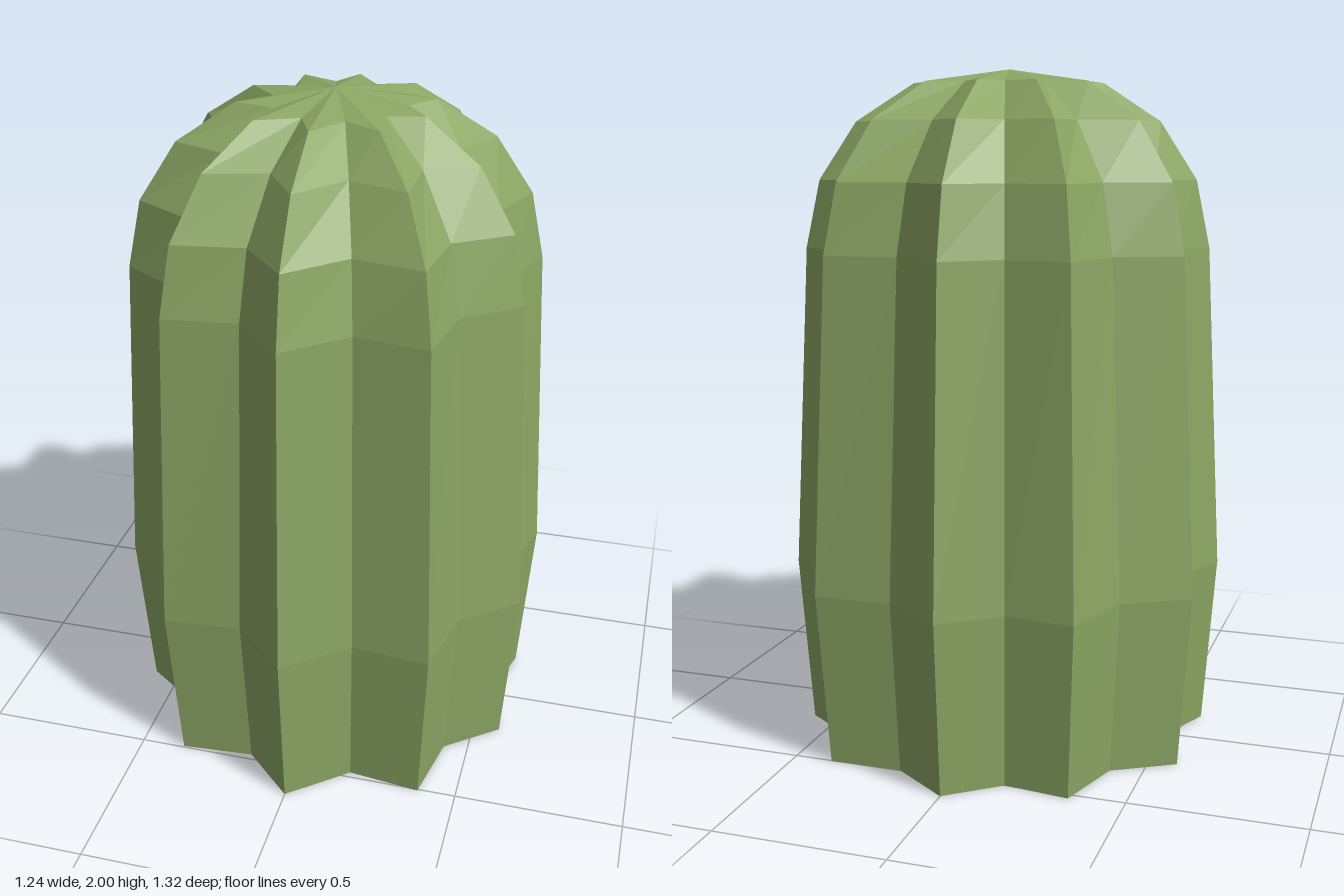
import * as THREE from 'three';

// Slightly uneven rib tips [x, z] at the widest height, starting at the back
const TIPS = [
  [0, -0.66], [0.41, -0.535], [0.62, -0.217], [0.62, 0.18], [0.41, 0.537],
  [0, 0.66], [-0.39, 0.527], [-0.62, 0.18], [-0.62, -0.222], [-0.363, -0.557],
];
// Each level: height, scale of the rib tips, radius of the valleys
const LEVELS = [
  [0, 0.94, 0.515], [0.51, 1, 0.55], [1.48, 0.925, 0.5],
  [1.68, 0.86, 0.455], [1.85, 0.69, 0.34], [1.96, 0.43, 0.192],
];

// Star-shaped cross-section: tips and valleys alternate
function starRing([y, scale, valley]) {
  return TIPS.flatMap(([x, z], i) => {
    const a = (i + 0.5) * Math.PI / 5;
    return [
      [x * scale, y, z * scale],
      [0.01 + valley * Math.sin(a), y, -0.01 - valley * Math.cos(a)],
    ];
  });
}

function ribbedBodyGeometry() {
  const rings = LEVELS.map(starRing);
  const n = TIPS.length * 2;
  const last = rings.length - 1;
  const pos = [];
  const tri = (...corners) => corners.forEach((p) => pos.push(...p));
  for (let i = 0; i < n; i++) {
    const j = (i + 1) % n;
    // ribbed wall
    for (let k = 0; k < last; k++) {
      const lo = rings[k], hi = rings[k + 1];
      tri(lo[j], lo[i], hi[i]);
      tri(lo[j], hi[i], hi[j]);
    }
    // shallow crown and flat base
    tri(rings[last][j], rings[last][i], [0, 2, 0]);
    tri(rings[0][i], rings[0][j], [0, 0, 0]);
  }
  const geometry = new THREE.BufferGeometry();
  geometry.setAttribute('position', new THREE.Float32BufferAttribute(pos, 3));
  geometry.computeVertexNormals();
  return geometry;
}

export function createModel() {
  const group = new THREE.Group();
  group.name = 'cactus';
  const material = new THREE.MeshStandardMaterial({ color: 0x8ca664, flatShading: true });
  const body = new THREE.Mesh(ribbedBodyGeometry(), material);
  body.name = 'ribbedBody';
  group.add(body);
  return group;
}
